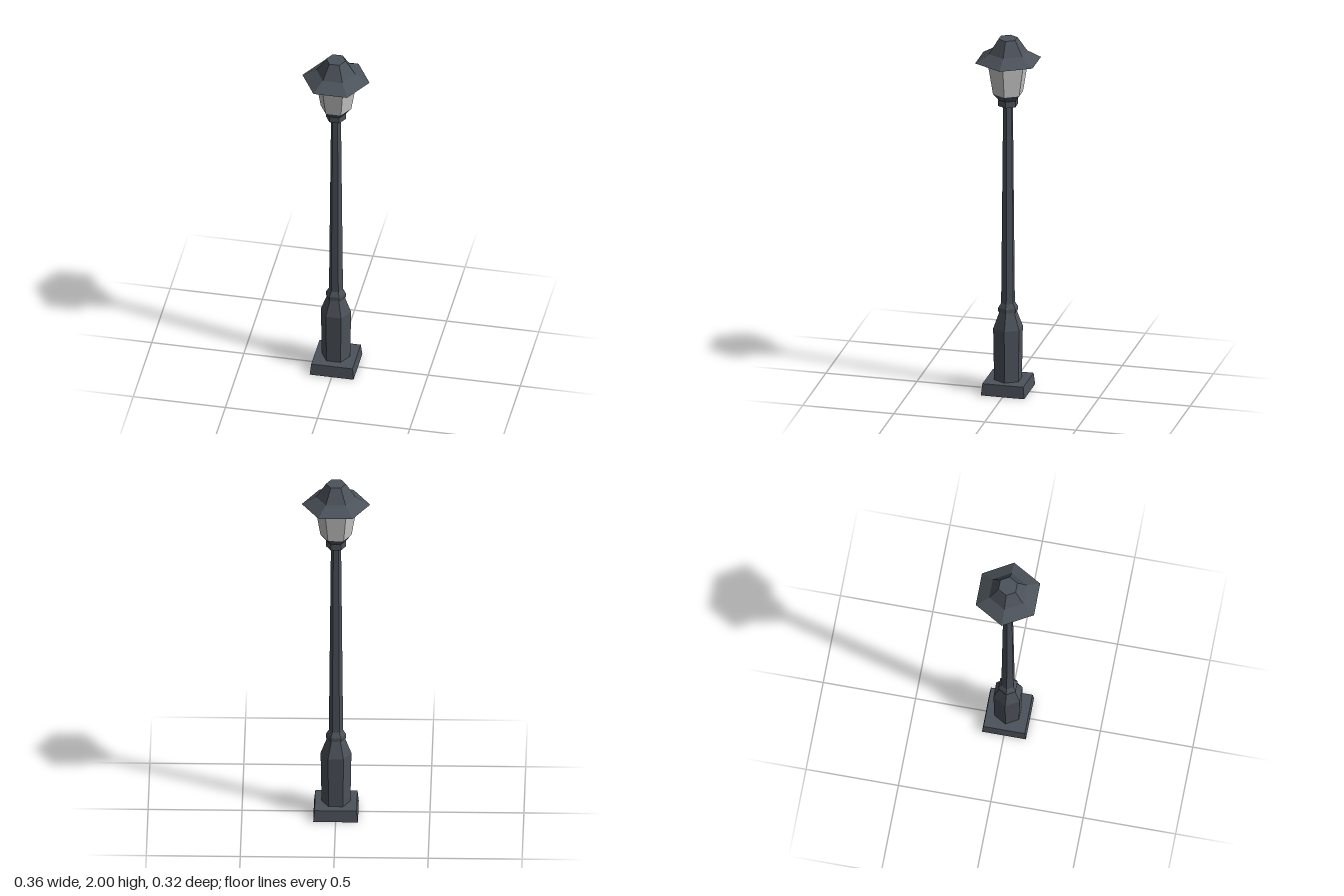
import * as THREE from 'three';

const iron = new THREE.MeshStandardMaterial({ color: 0x4c525a, flatShading: true });
const glass = new THREE.MeshStandardMaterial({ color: 0xcccccc, flatShading: true });

// Hexagonal part turned from [radius, height] points, corners on the x axis
function hexPart(name, profile, material = iron) {
  const points = profile.map(([r, y]) => new THREE.Vector2(r, y));
  const mesh = new THREE.Mesh(new THREE.LatheGeometry(points, 6, Math.PI / 6), material);
  mesh.name = name;
  return mesh;
}

export function createModel() {
  const model = new THREE.Group();
  model.name = 'streetLamp';

  // Square foot with slightly sloping sides
  const foot = new THREE.Mesh(
    new THREE.CylinderGeometry(0.112 * Math.SQRT2, 0.119 * Math.SQRT2, 0.065, 4, 1, false, Math.PI / 4),
    iron
  );
  foot.name = 'foot';
  foot.position.y = 0.0325;
  model.add(foot);

  // Pedestal, ring and tapering post
  model.add(hexPart('pedestal', [[0.077, 0.065], [0.082, 0.357], [0.046, 0.452]]));
  model.add(hexPart('ring', [[0, 0.45], [0.054, 0.45], [0.054, 0.472], [0.038, 0.498]]));
  model.add(hexPart('post', [[0.038, 0.49], [0.027, 1.625]]));

  // Lantern: cup, panes and roof
  const lantern = new THREE.Group();
  lantern.name = 'lantern';
  lantern.add(hexPart('cup', [[0, 1.62], [0.054, 1.62], [0.054, 1.655], [0.083, 1.69]]));
  lantern.add(hexPart('panes', [[0.083, 1.69], [0.114, 1.876]], glass));
  lantern.add(hexPart('roof', [[0, 1.875], [0.182, 1.875], [0.106, 1.92], [0.053, 2], [0, 2]]));
  model.add(lantern);

  return model;
}
